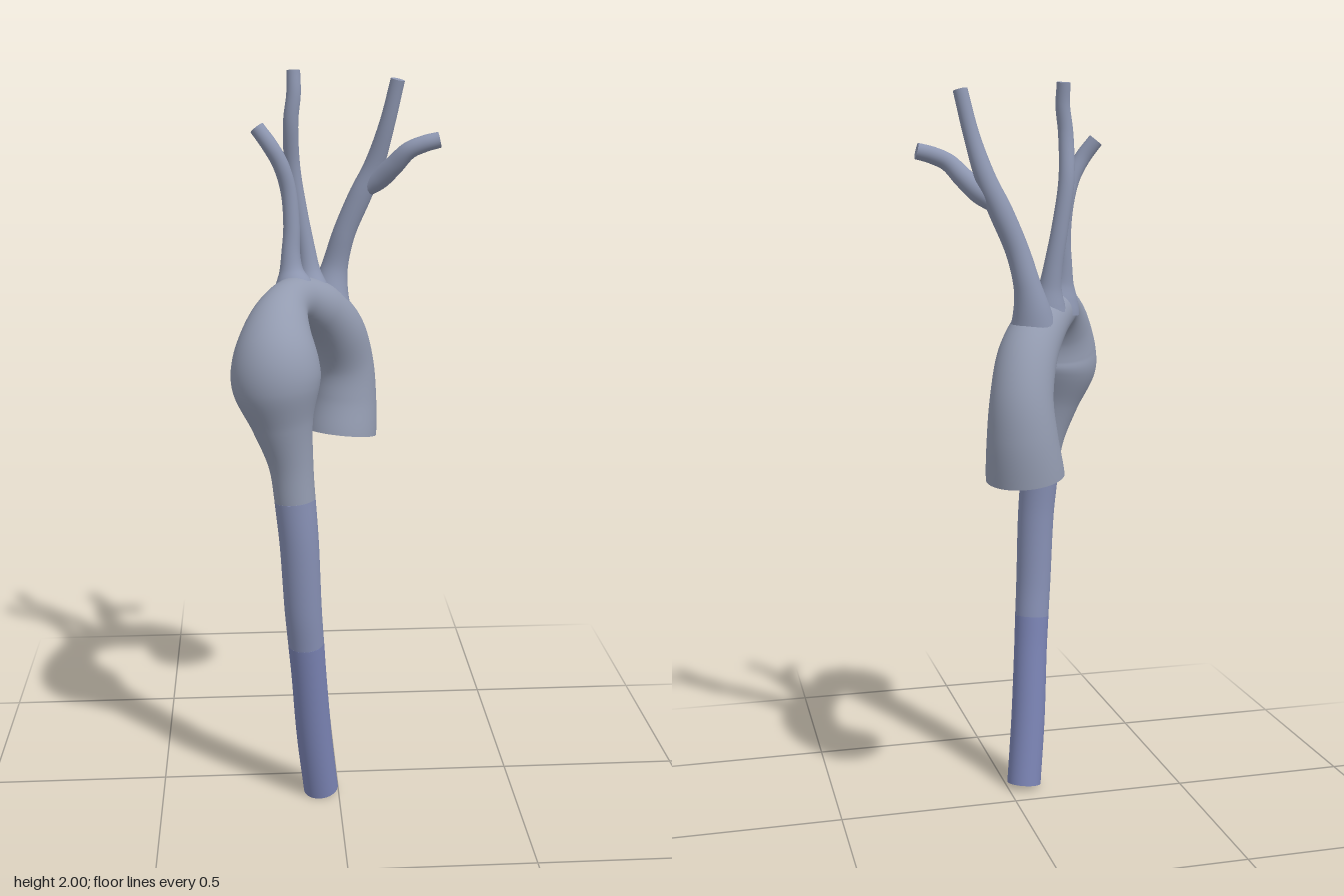
import * as THREE from 'three';

// Capped tube whose radius varies along a smooth path; stations are [x, y, z, radius]
function vessel(name, color, stations, steps, sides) {
  const curve = new THREE.CatmullRomCurve3(
    stations.map(([x, y, z]) => new THREE.Vector3(x, y, z)), false, 'centripetal');
  // radii follow the same parameter as the path
  const radii = new THREE.SplineCurve(stations.map((s, i) => new THREE.Vector2(i, s[3])));
  const positions = [];
  const index = [];
  const normal = new THREE.Vector3(1, 0, 0);
  const binormal = new THREE.Vector3();
  const rings = [];
  const reach = 0.6 / (stations.length - 1);

  for (let i = 0; i <= steps; i++) {
    const t = i / steps;
    const centre = curve.getPoint(t);
    // a chord instead of the exact tangent keeps wide rings from crossing in tight bends
    const tangent = curve.getPoint(Math.min(1, t + reach))
      .sub(curve.getPoint(Math.max(0, t - reach))).normalize();
    const r = radii.getPoint(t).y;
    // carry the previous normal along so that the rings do not twist
    normal.addScaledVector(tangent, -normal.dot(tangent)).normalize();
    binormal.crossVectors(tangent, normal);
    const ring = [];
    for (let j = 0; j < sides; j++) {
      const a = (j / sides) * Math.PI * 2;
      const p = centre.clone()
        .addScaledVector(normal, Math.cos(a) * r)
        .addScaledVector(binormal, Math.sin(a) * r);
      ring.push(p);
      positions.push(p.x, p.y, p.z);
    }
    rings.push({ centre, ring });
  }
  for (let i = 0; i < steps; i++) {
    for (let j = 0; j < sides; j++) {
      const k = (j + 1) % sides;
      const a = i * sides + j, b = i * sides + k;
      index.push(a, b, a + sides, b, b + sides, a + sides);
    }
  }
  // flat cut ends with their own vertices, so the rims stay sharp
  [rings[0], rings[steps]].forEach(({ centre, ring }, end) => {
    const base = positions.length / 3;
    [centre, ...ring].forEach((p) => positions.push(p.x, p.y, p.z));
    for (let j = 0; j < sides; j++) {
      const a = base + 1 + j, b = base + 1 + ((j + 1) % sides);
      if (end) index.push(base, a, b);
      else index.push(base, b, a);
    }
  });

  const geometry = new THREE.BufferGeometry();
  geometry.setAttribute('position', new THREE.Float32BufferAttribute(positions, 3));
  geometry.setIndex(index);
  geometry.computeVertexNormals();
  const mesh = new THREE.Mesh(geometry, new THREE.MeshStandardMaterial({ color }));
  mesh.name = name;
  return mesh;
}

// Grey-blue that turns bluer down the long trunk
const ARCH = 0x939bb0;
const BRANCH = 0x8d96b0;
const UPPER = 0x868fb3;
const LOWER = 0x7a83b3;

export function createModel() {
  const group = new THREE.Group();
  group.name = 'aorta';

  // Ascending trunk, arch and bulging aneurysm
  group.add(vessel('archAndAneurysm', ARCH, [
    [0.025, 0.992, -0.197, 0.103],
    [0.036, 1.10, -0.209, 0.092],
    [0.035, 1.20, -0.2, 0.082],
    [0.008, 1.30, -0.155, 0.078],
    [-0.045, 1.375, -0.09, 0.07],
    [-0.1, 1.41, -0.02, 0.061],
    [-0.135, 1.408, 0.058, 0.061],
    [-0.157, 1.365, 0.128, 0.084],
    [-0.165, 1.295, 0.175, 0.11],
    [-0.165, 1.225, 0.188, 0.113],
    [-0.15, 1.125, 0.192, 0.08],
    [-0.13, 1.02, 0.192, 0.059],
    [-0.12, 0.92, 0.194, 0.054],
  ], 160, 48));

  // Long descending trunk
  group.add(vessel('upperDescendingTrunk', UPPER, [
    [-0.12, 0.92, 0.194, 0.054],
    [-0.11, 0.80, 0.195, 0.052],
    [-0.1, 0.60, 0.185, 0.05],
    [-0.0925, 0.50, 0.1735, 0.049],
  ], 40, 48));
  group.add(vessel('lowerDescendingTrunk', LOWER, [
    [-0.0925, 0.50, 0.1735, 0.049],
    [-0.085, 0.40, 0.16, 0.048],
    [-0.07, 0.20, 0.13, 0.049],
    [-0.05, 0.012, 0.1, 0.049],
  ], 40, 48));

  // Branch nearest the aneurysm, leaning to the right
  group.add(vessel('rightBranch', BRANCH, [
    [-0.105, 1.41, -0.025, 0.064],
    [-0.112, 1.45, -0.03, 0.05],
    [-0.117, 1.485, -0.037, 0.032],
    [-0.118, 1.53, -0.043, 0.025],
    [-0.115, 1.60, -0.05, 0.022],
    [-0.122, 1.69, -0.055, 0.021],
    [-0.142, 1.76, -0.048, 0.021],
    [-0.17, 1.81, -0.045, 0.021],
    [-0.203, 1.855, -0.055, 0.02],
  ], 60, 28));

  // Tall middle branch
  group.add(vessel('middleBranch', BRANCH, [
    [-0.06, 1.39, -0.08, 0.064],
    [-0.064, 1.435, -0.09, 0.046],
    [-0.068, 1.475, -0.097, 0.031],
    [-0.075, 1.53, -0.102, 0.025],
    [-0.092, 1.63, -0.105, 0.022],
    [-0.11, 1.75, -0.1, 0.021],
    [-0.114, 1.87, -0.077, 0.02],
    [-0.106, 1.94, -0.076, 0.019],
    [-0.106, 1.998, -0.083, 0.018],
  ], 60, 28));

  // Thick left branch, which forks near its top
  group.add(vessel('leftBranch', BRANCH, [
    [-0.015, 1.34, -0.125, 0.068],
    [-0.008, 1.41, -0.14, 0.051],
    [0.006, 1.48, -0.145, 0.036],
    [0.03, 1.57, -0.135, 0.031],
    [0.072, 1.67, -0.127, 0.031],
    [0.108, 1.75, -0.118, 0.027],
    [0.14, 1.86, -0.095, 0.021],
    [0.166, 1.975, -0.08, 0.019],
  ], 60, 28));

  // Side fork of the left branch
  group.add(vessel('leftFork', BRANCH, [
    [0.082, 1.685, -0.124, 0.022],
    [0.122, 1.717, -0.106, 0.028],
    [0.16, 1.757, -0.078, 0.026],
    [0.195, 1.795, -0.056, 0.023],
    [0.235, 1.813, -0.048, 0.022],
    [0.274, 1.823, -0.046, 0.021],
  ], 40, 28));

  return group;
}
